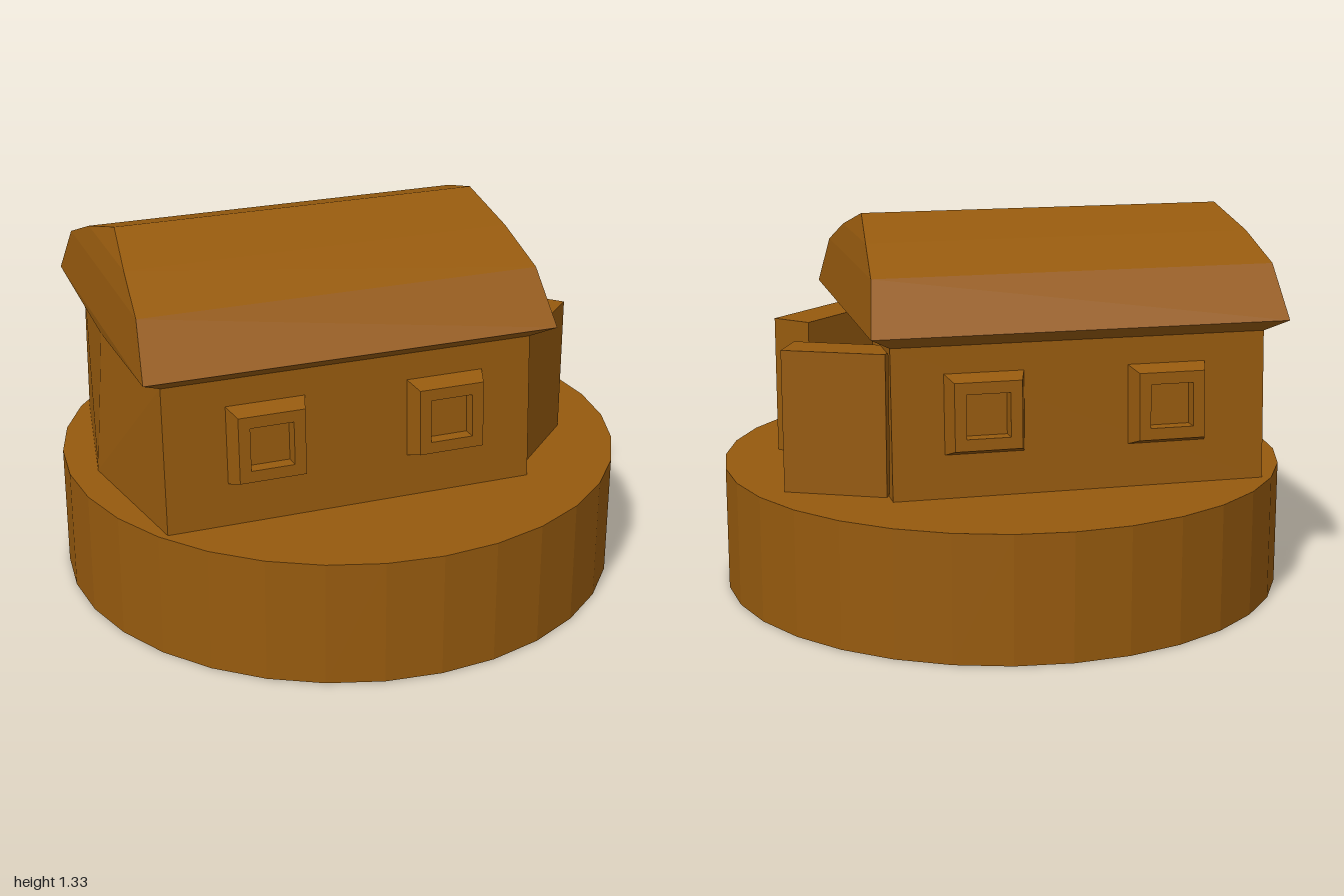
import * as THREE from 'three';
import { ConvexGeometry } from 'three/addons/geometries/ConvexGeometry.js';

const BASE_TOP = 0.44, WALL_TOP = 0.955, CEILING = 0.93;
const wood = new THREE.MeshStandardMaterial({ color: 0x965a0e });
wood.name = 'brownWood';

function part(name, geometry, parent) {
  const mesh = new THREE.Mesh(geometry, wood);
  mesh.name = name;
  parent.add(mesh);
  return mesh;
}

// Faceted solid wrapped around a few corner points
const hull = (points) => new ConvexGeometry(points.map((p) => new THREE.Vector3(...p)));

// Vertical prism over a footprint of [x, z] corners
const prism = (corners, y0, y1) =>
  hull(corners.flatMap(([x, z]) => [[x, y0, z], [x, y1, z]]));

function flat(geometry) {
  const g = geometry.toNonIndexed();
  g.computeVertexNormals();
  return g;
}

// Walls lean slightly inward toward the eaves
const LEAN = 0.05;
const wallZ = (y) => 0.5525 - LEAN * (y - BASE_TOP);
const backX = (y) => -0.9 + 0.07 * (y - BASE_TOP);

// Square bevelled window frame with a recessed pane, facing +z
function windowGeometry() {
  const profile = [[0.14, -0.01], [0.115, 0.066], [0.075, 0.066], [0.071, 0.025], [0, 0.025]]
    .map(([half, d]) => new THREE.Vector2(half * Math.SQRT2, d));
  const g = new THREE.LatheGeometry(profile, 4);
  g.rotateY(Math.PI / 4);
  g.rotateX(Math.PI / 2);
  return flat(g);
}

export function createModel() {
  const model = new THREE.Group();
  model.name = 'houseOnRoundBase';

  // Round base
  const base = part('roundBase', flat(new THREE.CylinderGeometry(1, 1, BASE_TOP, 32)), model);
  base.position.y = BASE_TOP / 2;

  const house = new THREE.Group();
  house.name = 'house';
  house.position.z = 0.006;
  model.add(house);

  // Side walls with their windows
  for (const s of [1, -1]) {
    const side = s > 0 ? 'front' : 'rear';
    const points = [];
    for (const x of [-0.8, 0.5])
      for (const y of [BASE_TOP, WALL_TOP])
        points.push([x, y, s * wallZ(y)], [x, y, s * 0.49]);
    part(side + 'Wall', hull(points), house);

    for (const x of [-0.45, 0.185]) {
      const frame = part(side + 'Window', windowGeometry(), house);
      frame.position.set(x, 0.725, s * wallZ(0.725));
      frame.rotation.order = 'YXZ';
      frame.rotation.set(-LEAN, s > 0 ? 0 : Math.PI, 0);
    }
  }

  // Pointed end wall
  const endPoints = [];
  for (const y of [BASE_TOP, WALL_TOP]) {
    endPoints.push([backX(y), y, 0]);
    for (const s of [1, -1]) endPoints.push([-0.8, y, s * wallZ(y)], [-0.7, y, s * 0.49]);
  }
  part('endWall', hull(endPoints), house);

  // Floor and ceiling; the ceiling edge is the lintel over the doorway
  const room = [[-0.75, 0.49], [0.5, 0.49], [0.5, -0.49], [-0.75, -0.49]];
  part('floor', prism(room, BASE_TOP, 0.447), house);
  part('ceiling', prism(room, CEILING, WALL_TOP), house);

  // Roof: arched section, gable ends leaning in toward the ridge
  const section = [[0, 1.33, -0.8, 0.5], [0.245, 1.26, -0.832, 0.527],
    [0.458, 1.175, -0.851, 0.547], [0.588, 0.998, -0.87, 0.572]];
  const roofPoints = [[backX(WALL_TOP), WALL_TOP, 0]];
  for (const s of [1, -1]) {
    for (const [z, y, x0, x1] of section)
      if (z || s > 0) roofPoints.push([x0, y, s * z], [x1, y, s * z]);
    for (const x of [-0.8, 0.5]) roofPoints.push([x, WALL_TOP, s * wallZ(WALL_TOP)]);
  }
  part('roof', hull(roofPoints), house);

  // Thick double doors, standing ajar
  const doors = {
    frontDoor: [[0.51, 0.485], [0.787, 0.215], [0.68, 0.107], [0.403, 0.377]],
    rearDoor: [[0.51, -0.495], [0.835, -0.345], [0.773, -0.21], [0.448, -0.36]],
  };
  for (const [name, corners] of Object.entries(doors))
    part(name, prism(corners, BASE_TOP, CEILING - 0.001), house);

  return model;
}
